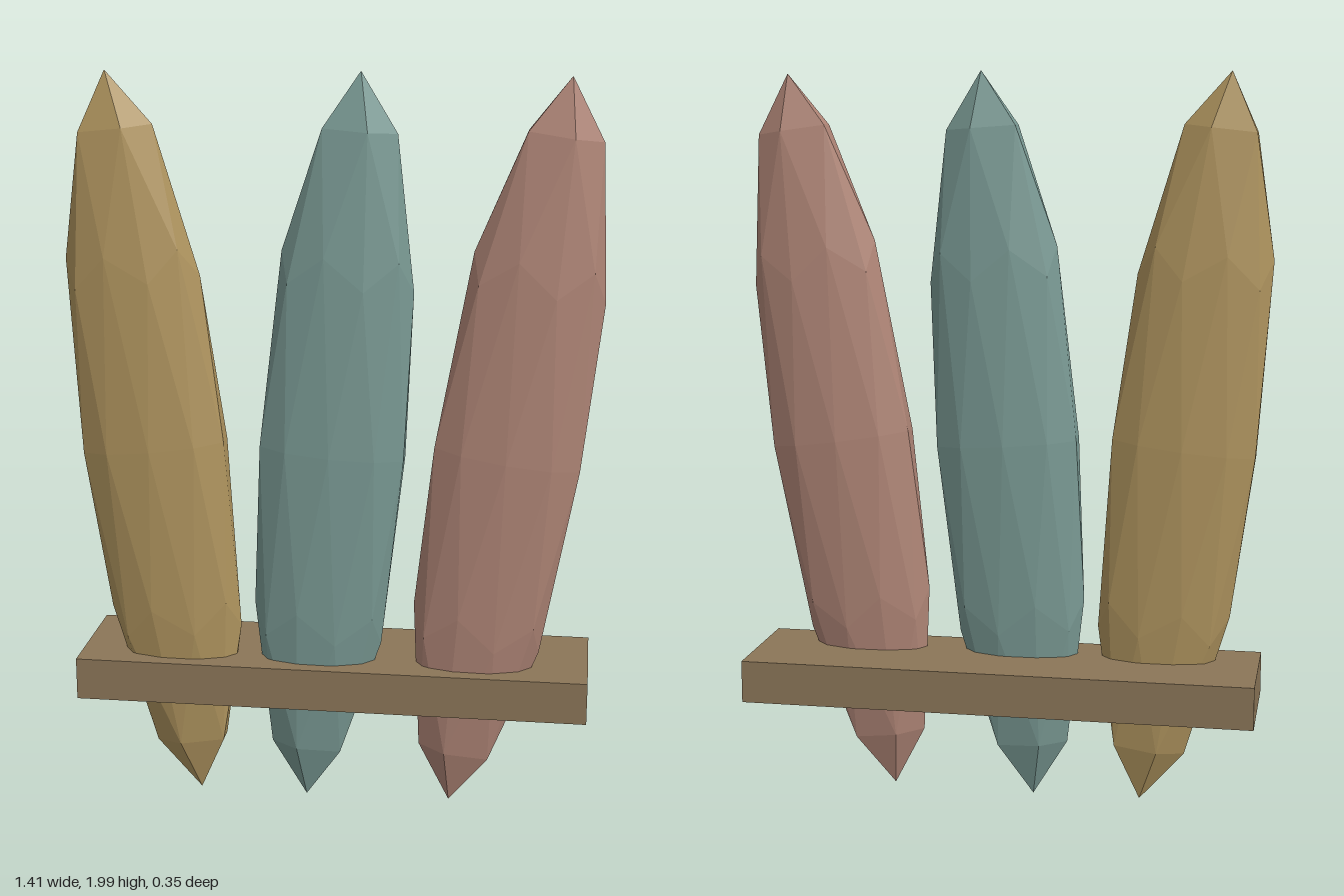
import * as THREE from 'three';

const paint = (name, color) => {
  const m = new THREE.MeshStandardMaterial({ color });
  m.name = name;
  return m;
};

// Faceted, flattened spindle with a vertex at each tip
function spindleGeometry(rx, ry, rz) {
  const g = new THREE.IcosahedronGeometry(1, 1);
  g.rotateZ(-Math.atan(2 / (1 + Math.sqrt(5))));
  g.scale(rx, ry, rz);
  g.computeVertexNormals(); // unshared corners give flat facets
  return g;
}

export function createModel() {
  const model = new THREE.Group();
  model.name = 'boardRack';

  // Horizontal rack plank
  const plank = new THREE.Mesh(
    new THREE.BoxGeometry(1.386, 0.115, 0.346),
    paint('wood brown', 0x8b7658)
  );
  plank.name = 'rackPlank';
  plank.position.set(0, 0.362, 0);
  model.add(plank);

  // Three leaning boards passing through the plank
  const geometry = spindleGeometry(0.202, 0.998, 0.087);
  const boards = [
    ['rightBoard', -0.48, 0.11, paint('ochre', 0xb0955f)],
    ['middleBoard', 0, -0.073, paint('sea green', 0x7a9a94)],
    ['leftBoard', 0.463, -0.141, paint('dusty pink', 0xb08677)],
  ];
  for (const [name, x, tilt, material] of boards) {
    const board = new THREE.Mesh(geometry, material);
    board.name = name;
    board.position.set(x, 1.005, 0.068);
    board.rotation.z = tilt;
    model.add(board);
  }
  return model;
}
